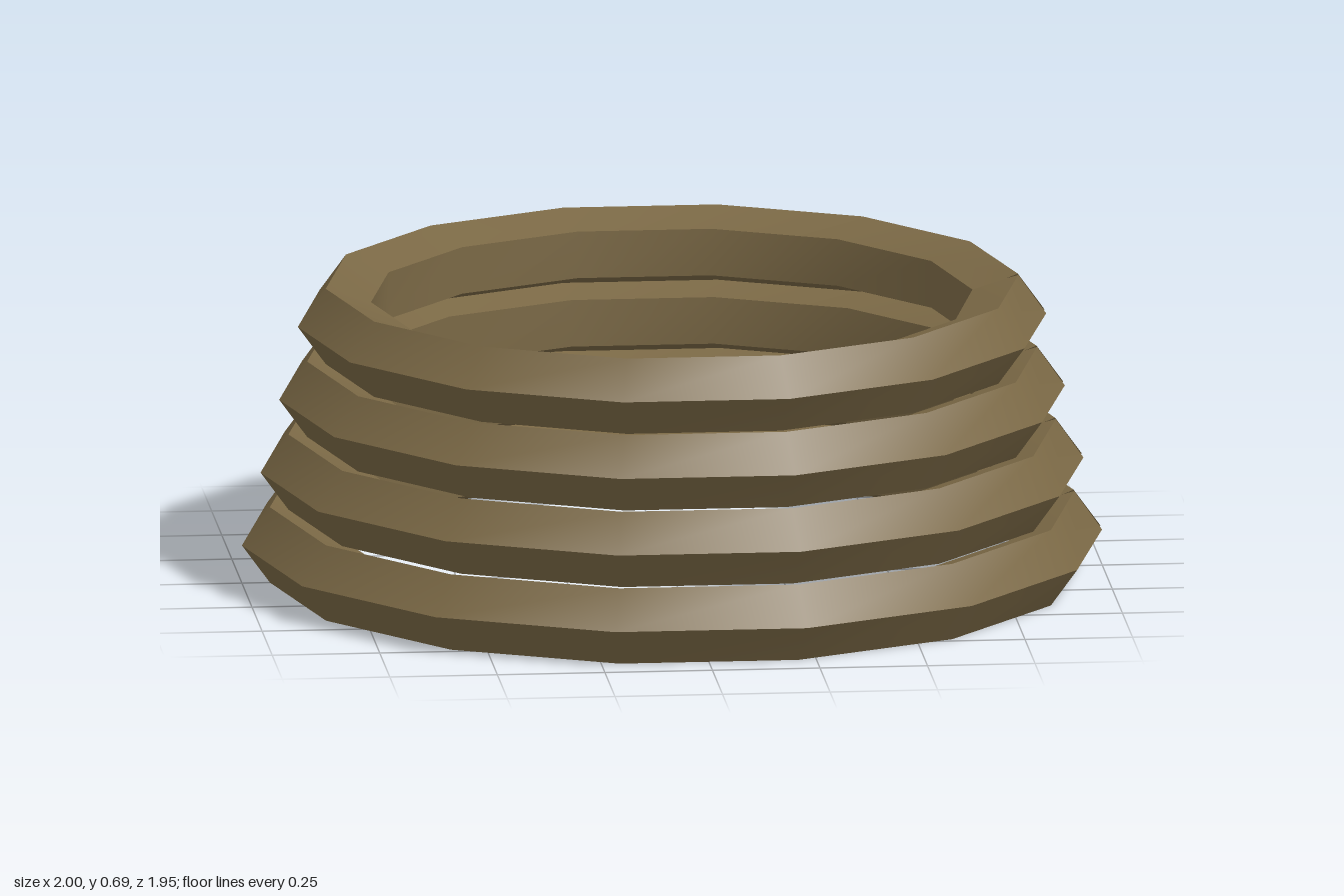
import * as THREE from 'three';
import { toCreasedNormals } from 'three/addons/utils/BufferGeometryUtils.js';

const SEGMENTS = 14; // stations around each coil
const SIDES = 5;     // pentagonal tube section
const TUBE = 0.094;  // section radius

// Open-ended pentagonal tube bent into a ring; its two ends meet at +x,
// each cut square to its own straight segment, leaving a small wedge gap.
function coilGeometry(radius) {
  const step = (Math.PI * 2) / SEGMENTS;
  const positions = [];
  const index = [];
  for (let i = 0; i <= SEGMENTS; i++) {
    const theta = i * step;
    const tilt = i === 0 ? step / 2 : i === SEGMENTS ? -step / 2 : 0;
    for (let j = 0; j < SIDES; j++) {
      const phi = (j / SIDES) * Math.PI * 2;
      const out = TUBE * Math.cos(phi);
      positions.push(
        radius * Math.cos(theta) + out * Math.cos(theta + tilt),
        TUBE * Math.sin(phi),
        radius * Math.sin(theta) + out * Math.sin(theta + tilt)
      );
    }
  }
  for (let i = 0; i < SEGMENTS; i++) {
    for (let j = 0; j < SIDES; j++) {
      const k = (j + 1) % SIDES;
      const a = i * SIDES + j, b = i * SIDES + k;
      const c = a + SIDES, d = b + SIDES;
      index.push(a, b, c, b, d, c);
    }
  }
  const geometry = new THREE.BufferGeometry();
  geometry.setAttribute('position', new THREE.Float32BufferAttribute(positions, 3));
  geometry.setIndex(index);
  // smooth along the ring, sharp between the five sides
  return toCreasedNormals(geometry, Math.PI / 4);
}

export function createModel() {
  const group = new THREE.Group();
  group.name = 'coiledRings';

  const rope = new THREE.MeshStandardMaterial({ color: 0x7a6845, side: THREE.DoubleSide });
  rope.name = 'rope brown';

  // Four stacked coils, each a little narrower than the one below
  for (let n = 0; n < 4; n++) {
    const coil = new THREE.Mesh(coilGeometry(0.906 - 0.0433 * n), rope);
    coil.name = `coil${n + 1}`;
    coil.position.y = 0.0894 + 0.172 * n;
    group.add(coil);
  }
  return group;
}
